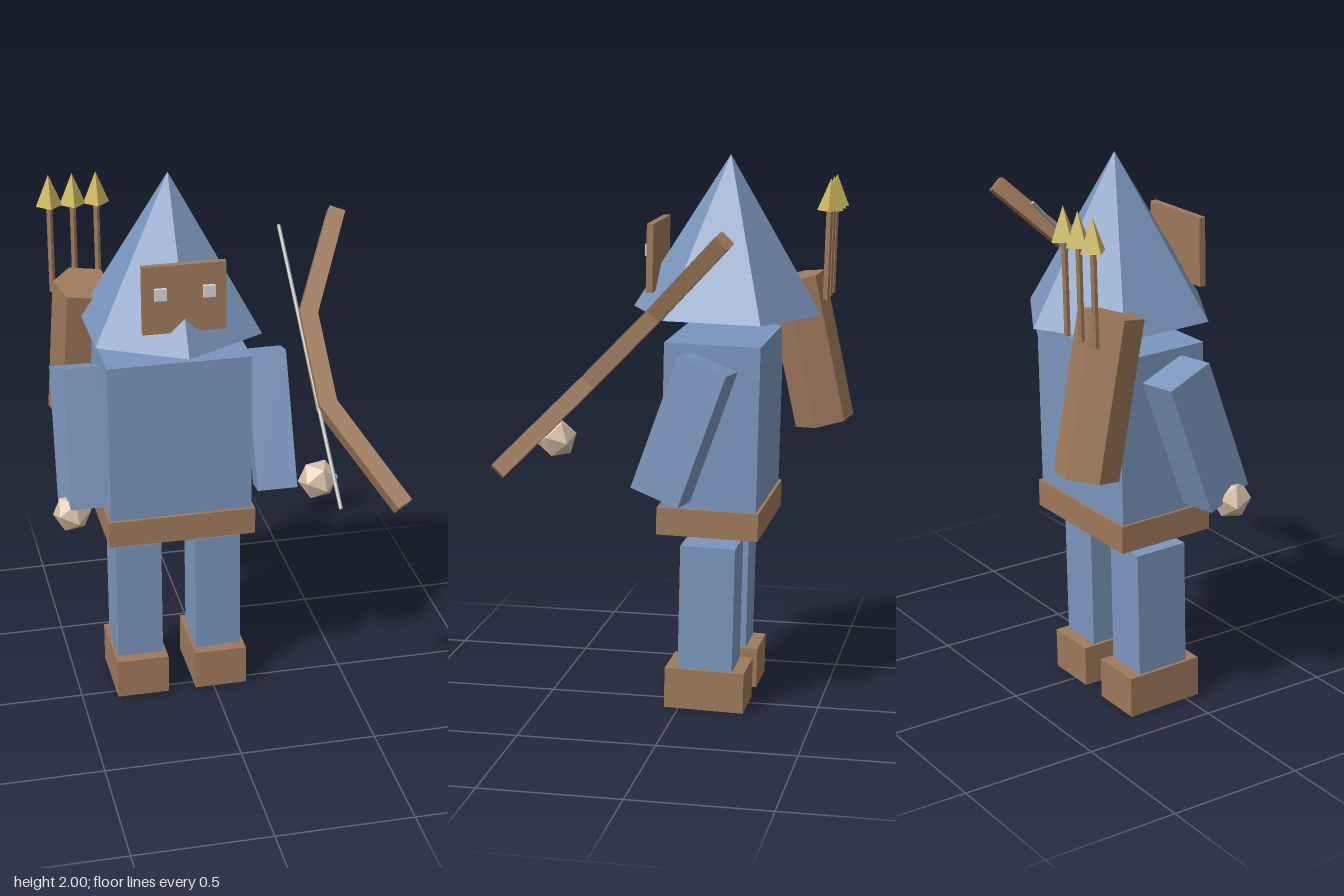
import * as THREE from 'three';

const mat = (name, color) => {
  const m = new THREE.MeshStandardMaterial({ color });
  m.name = name;
  m.flatShading = true;
  return m;
};

export function createModel() {
  const blue = mat('blue cloth', 0x7b96bd);
  const brown = mat('brown leather', 0x9f7a5b);
  const skin = mat('skin', 0xd9c0a8);
  const gold = mat('gold', 0xcdb85a);
  const pale = mat('pale eyes', 0xd3d8d6);
  const grey = mat('bowstring grey', 0xa8aaa6);

  const model = new THREE.Group();
  model.name = 'hoodedArcher';
  const MID = -0.123; // body's centre line
  const LEAN = -0.022; // slight backward lean of the whole figure

  const add = (name, geo, material, pos, rot = [LEAN, 0, 0]) => {
    const mesh = new THREE.Mesh(geo, material);
    mesh.name = name;
    mesh.position.set(...pos);
    mesh.rotation.set(...rot);
    model.add(mesh);
    return mesh;
  };
  const box = (w, h, d) => new THREE.BoxGeometry(w, h, d);

  // Cylinder stretched between two points
  const rod = (name, a, b, radius, sides, material) => {
    const p = new THREE.Vector3(...a), q = new THREE.Vector3(...b);
    const dir = q.clone().sub(p);
    const mesh = add(name, new THREE.CylinderGeometry(radius, radius, dir.length(), sides),
      material, p.clone().add(q).multiplyScalar(0.5).toArray());
    mesh.quaternion.setFromUnitVectors(new THREE.Vector3(0, 1, 0), dir.normalize());
    return mesh;
  };

  // Body
  add('torso', box(0.52, 0.6, 0.344), blue, [MID, 1.057, -0.121]);
  add('belt', box(0.54, 0.1, 0.368), brown, [MID + 0.001, 0.711, -0.112]);

  // Legs, boots and arms on both sides
  for (const [side, s] of [['left', 1], ['right', -1]]) {
    add(side + 'Leg', box(0.17, 0.47, 0.2), blue, [MID + s * 0.149, 0.38, -0.103]);
    add(side + 'Boot', box(0.195, 0.15, 0.292), brown, [MID + s * 0.149, 0.08, -0.097]);
    add(side + 'Arm', box(0.144, 0.5, 0.185), blue,
      [MID + s * 0.348, 1.069, -0.045], [-0.34, -s * 0.13, s * 0.016]);
  }

  // Hands
  const hand = new THREE.IcosahedronGeometry(0.071);
  add('rightHand', hand, skin, [-0.524, 0.826, 0.068], [-0.3, 0.2, 0.1]);
  add('leftHand', hand, skin, [0.29, 1.035, 0.396], [-0.3, 0.2, 0.1]);

  // Hood
  add('hood', new THREE.ConeGeometry(0.343, 0.561, 6), blue, [MID, 1.7195, -0.139]);

  // Mask with a notch at the mouth
  const face = new THREE.Shape([
    [-0.147, -0.123], [-0.048, -0.123], [-0.016, -0.095], [0, -0.08], [0.016, -0.095],
    [0.048, -0.123], [0.147, -0.123], [0.147, 0.123], [-0.147, 0.123],
  ].map(([x, y]) => new THREE.Vector2(x, y)));
  const maskGeo = new THREE.ExtrudeGeometry(face, { depth: 0.024, bevelEnabled: false });
  add('mask', maskGeo, brown, [MID, 1.64, 0.108]);
  for (const [side, s] of [['left', 1], ['right', -1]]) {
    add(side + 'Eye', box(0.042, 0.042, 0.02), pale, [MID + s * 0.085, 1.664, 0.136]);
  }

  // Quiver on the back
  const quiver = new THREE.CylinderGeometry(0.112, 0.112, 0.555, 6);
  quiver.rotateY(0.33);
  add('quiver', quiver, brown, [-0.404, 1.26, -0.398], [0.205, 0, -0.03]);

  // Arrows
  for (const x of [-0.492, -0.407, -0.321]) {
    rod('arrowShaft', [x, 1.46, -0.465], [x, 1.79, -0.474], 0.012, 6, brown);
    add('arrowHead', new THREE.ConeGeometry(0.048, 0.117, 4), gold, [x, 1.844, -0.477]);
  }

  // Bow: bent square bar lying in a tilted plane
  const spine = [[0.51, 0.562], [0.34, 0.177], [0.352, -0.163], [0.558, -0.553]];
  const offset = [[0.027, -0.012], [0.032, -0.005], [0.032, 0.008], [0.027, 0.014]];
  const edge = (k) => spine.map(([x, y], i) =>
    new THREE.Vector2(x + k * offset[i][0], y + k * offset[i][1]));
  const bowShape = new THREE.Shape([...edge(1), ...edge(-1).reverse()]);
  const bowGeo = new THREE.ExtrudeGeometry(bowShape, { depth: 0.058, bevelEnabled: false });
  bowGeo.translate(0, 0, -0.029);
  add('bow', bowGeo, brown, [0, 1.3675, 0.153], [-0.768, 0, 0]);
  rod('bowString', [0.293, 1.745, -0.215], [0.338, 0.98, 0.528], 0.007, 6, grey);

  return model;
}
